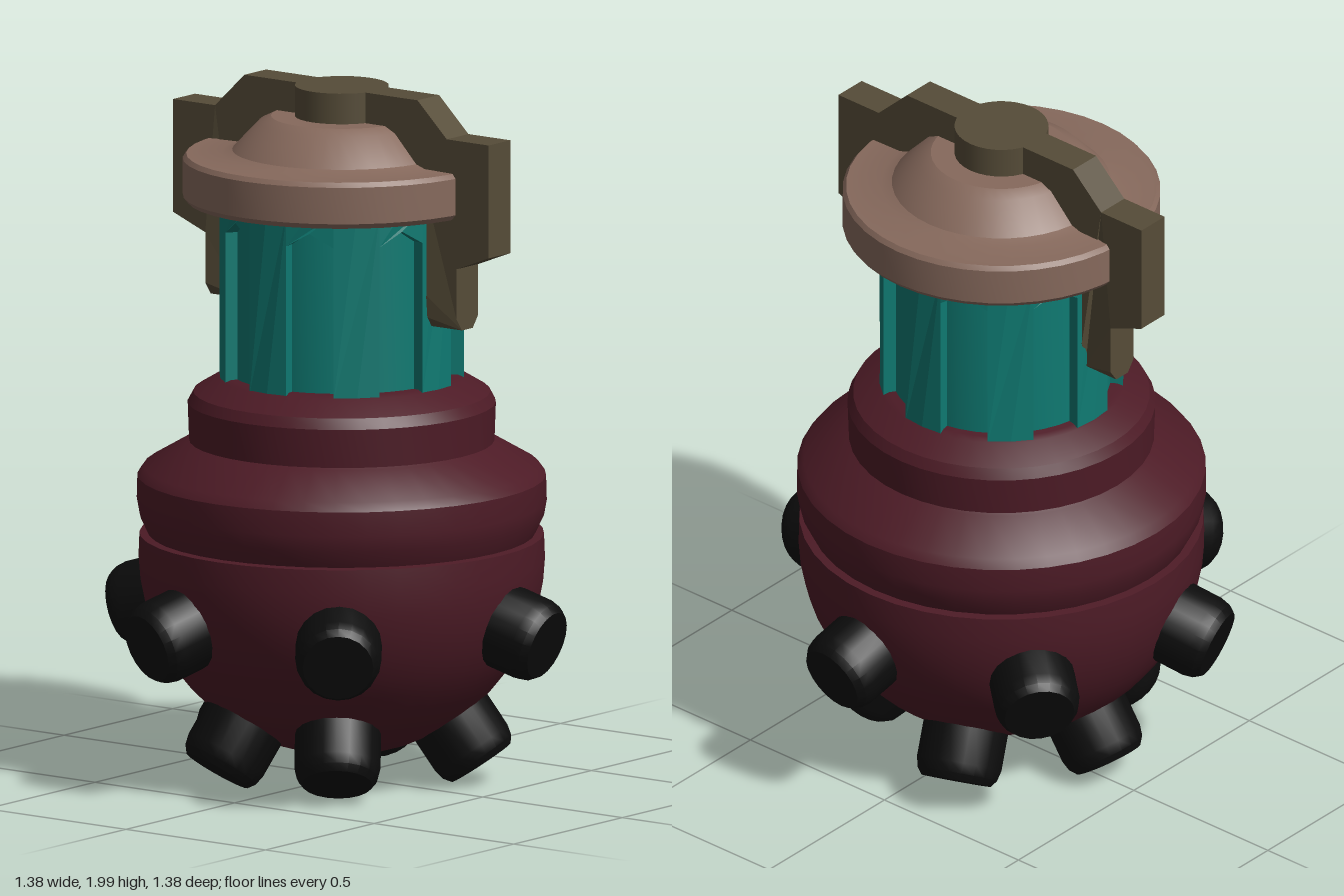
import * as THREE from 'three';
import { toCreasedNormals } from 'three/addons/utils/BufferGeometryUtils.js';

const material = (color) => new THREE.MeshStandardMaterial({ color });
const MAROON = material(0x4d1b26);
const TEAL = material(0x0f7a72);
const TAN = material(0x86695c);
const OLIVE = material(0x564c38);
const BLACK = material(0x0c0c0c);

function mesh(name, geometry, mat) {
  const m = new THREE.Mesh(geometry, mat);
  m.name = name;
  return m;
}

const vectors = (points) => points.map(([x, y]) => new THREE.Vector2(x, y));

function lathe(points, segments = 40, crease = 0.45) {
  return toCreasedNormals(new THREE.LatheGeometry(vectors(points), segments), crease);
}

// Extrude a flat outline and wrap it around the y axis
function wrapped(points, inner, outer, angle) {
  const geo = new THREE.ExtrudeGeometry(new THREE.Shape(vectors(points)), {
    depth: outer - inner, bevelEnabled: false,
  });
  const p = geo.attributes.position;
  for (let i = 0; i < p.count; i++) {
    const a = angle + p.getX(i) / outer;
    const r = inner + p.getZ(i);
    p.setXYZ(i, Math.sin(a) * r, p.getY(i), Math.cos(a) * r);
  }
  geo.computeVertexNormals();
  return geo;
}

const CENTRE_Y = 0.655;

// Round lower bowl, bulging band and stepped shoulder
function body() {
  const points = [];
  const R = 0.575;
  for (let i = 0; i <= 14; i++) {
    const a = -Math.PI / 2 + (i / 14) * (Math.PI / 2 + 0.1);
    points.push([Math.max(0, Math.cos(a) * R), CENTRE_Y + Math.sin(a) * R]);
  }
  points.push([0.548, 0.715], [0.572, 0.765], [0.58, 0.81], [0.578, 0.88], [0.56, 0.905],
    [0.44, 0.975], [0.432, 0.98], [0.436, 1.09], [0.42, 1.12], [0.35, 1.162], [0.33, 1.17], [0, 1.17]);
  return mesh('body', lathe(points), MAROON);
}

// Neck with eight raised ribs and pointed recesses between them
function neck() {
  const group = new THREE.Group();
  group.name = 'neck';
  const inner = 0.31, outer = 0.346, bottom = 1.155, top = 1.69;
  group.add(mesh('neckCore', lathe([[inner, bottom], [inner, top]]), TEAL));
  const w = 0.066, half = (outer * Math.PI) / 8;
  const a = half - w;
  const rib = [[-w, bottom], [0, bottom], [w, bottom], [w, top], [0, top], [-w, top]];
  const arch = [[-a, 1.595], [0, 1.635], [a, 1.595], [a, top], [0, top], [-a, top]];
  for (let i = 0; i < 8; i++) {
    const angle = (i * Math.PI) / 4;
    group.add(mesh('neckRib', wrapped(rib, inner - 0.01, outer, angle), TEAL));
    group.add(mesh('recessArch', wrapped(arch, inner - 0.01, outer, angle + Math.PI / 8), TEAL));
  }
  return group;
}

function lid() {
  return mesh('lid', lathe([
    [0, 1.67], [0.438, 1.67], [0.45, 1.685], [0.45, 1.79], [0.44, 1.803],
    [0.34, 1.805], [0.31, 1.815], [0.235, 1.895], [0.2, 1.912], [0, 1.912],
  ]), TAN);
}

// Strap over the lid, hooked against the neck on both sides
function clamp() {
  const group = new THREE.Group();
  group.name = 'clamp';
  const side = [
    [0.31, 2], [0.415, 1.9], [0.565, 1.9], [0.565, 1.575], [0.45, 1.53], [0.45, 1.385],
    [0.45, 1.35], [0.335, 1.35], [0.315, 1.385], [0.315, 1.44], [0.343, 1.44], [0.343, 1.73],
  ];
  const outline = [...side, ...side.map(([x, y]) => [-x, y]).reverse()];
  const width = 0.1;
  const geo = new THREE.ExtrudeGeometry(new THREE.Shape(vectors(outline)), {
    depth: width, bevelEnabled: false,
  });
  geo.translate(0, 0, -width / 2);
  // Narrow the lower tips of the hooks
  const p = geo.attributes.position;
  for (let i = 0; i < p.count; i++) {
    if (p.getY(i) < 1.36) p.setZ(i, p.getZ(i) * 0.5);
  }
  geo.computeVertexNormals();
  group.add(mesh('strap', geo, OLIVE));
  const hub = new THREE.CylinderGeometry(0.133, 0.133, 0.1, 32);
  hub.translate(0, 1.95, 0);
  group.add(mesh('hub', hub, OLIVE));
  return group;
}

// Blunt studs pointing straight out of the bowl, in two rings
function studs() {
  const group = new THREE.Group();
  group.name = 'studs';
  const rings = [
    { tip: 0.7, elevation: -17, azimuths: [-85, -8, 53, 107.5, 163.5, 220] },
    { tip: 0.715, elevation: -56, azimuths: [-28, 54, 114, 180, 248] },
  ];
  const up = new THREE.Vector3(0, 1, 0);
  for (const { tip, elevation, azimuths } of rings) {
    const geo = lathe([[0.122, 0.48], [0.122, tip - 0.05], [0.115, tip - 0.02],
      [0.1, tip], [0, tip]], 20);
    const e = THREE.MathUtils.degToRad(elevation);
    for (const azimuth of azimuths) {
      const a = THREE.MathUtils.degToRad(azimuth);
      const dir = new THREE.Vector3(
        Math.cos(a) * Math.cos(e), Math.sin(e), Math.sin(a) * Math.cos(e));
      const stud = mesh('stud', geo, BLACK);
      stud.position.y = CENTRE_Y;
      stud.quaternion.setFromUnitVectors(up, dir);
      group.add(stud);
    }
  }
  return group;
}

export function createModel() {
  const model = new THREE.Group();
  model.name = 'studdedFlask';
  const flask = new THREE.Group();
  flask.name = 'flask';
  flask.position.set(0.005, 0, 0.013);
  flask.add(body(), neck(), lid(), clamp(), studs());
  model.add(flask);
  return model;
}
